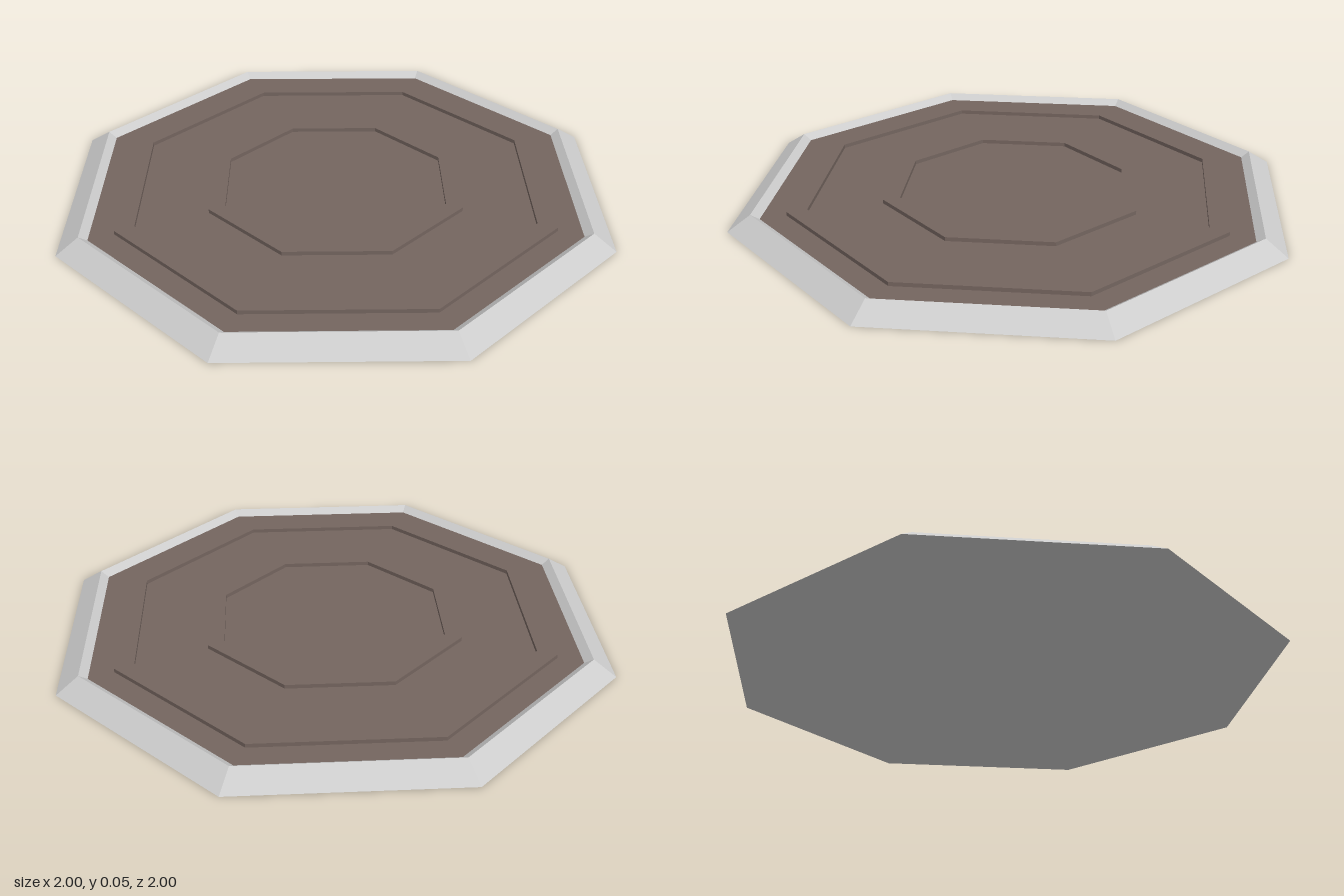
import * as THREE from 'three';

const SIDES = 8;
const FLOOR_Y = 0.033;
const RIDGE_Y = 0.047;

// Eight-sided faceted solid from a [radius, height] profile
function octagon(name, profile, material) {
  const points = profile.map(([r, y]) => new THREE.Vector2(r, y));
  const mesh = new THREE.Mesh(new THREE.LatheGeometry(points, SIDES), material);
  mesh.name = name;
  return mesh;
}

export function createModel() {
  const group = new THREE.Group();
  group.name = 'octagonalPlate';
  const grey = new THREE.MeshStandardMaterial({ color: 0xcccccc, flatShading: true });
  const brown = new THREE.MeshStandardMaterial({ color: 0x74655f, flatShading: true });

  // Underside, sloping outer rim and the lip down to the floor
  group.add(octagon('rim', [[0, 0], [1, 0], [0.92, 0.053], [0.89, FLOOR_Y]], grey));

  // Recessed floor
  group.add(octagon('floor', [[0.89, FLOOR_Y], [0, FLOOR_Y]], brown));

  // Raised concentric ridges
  for (const [name, outer, inner] of [['outerRidge', 0.8, 0.73], ['innerRidge', 0.47, 0.41]]) {
    group.add(octagon(name, [
      [outer, FLOOR_Y], [outer, RIDGE_Y], [inner, RIDGE_Y], [inner, FLOOR_Y],
    ], brown));
  }
  return group;
}
